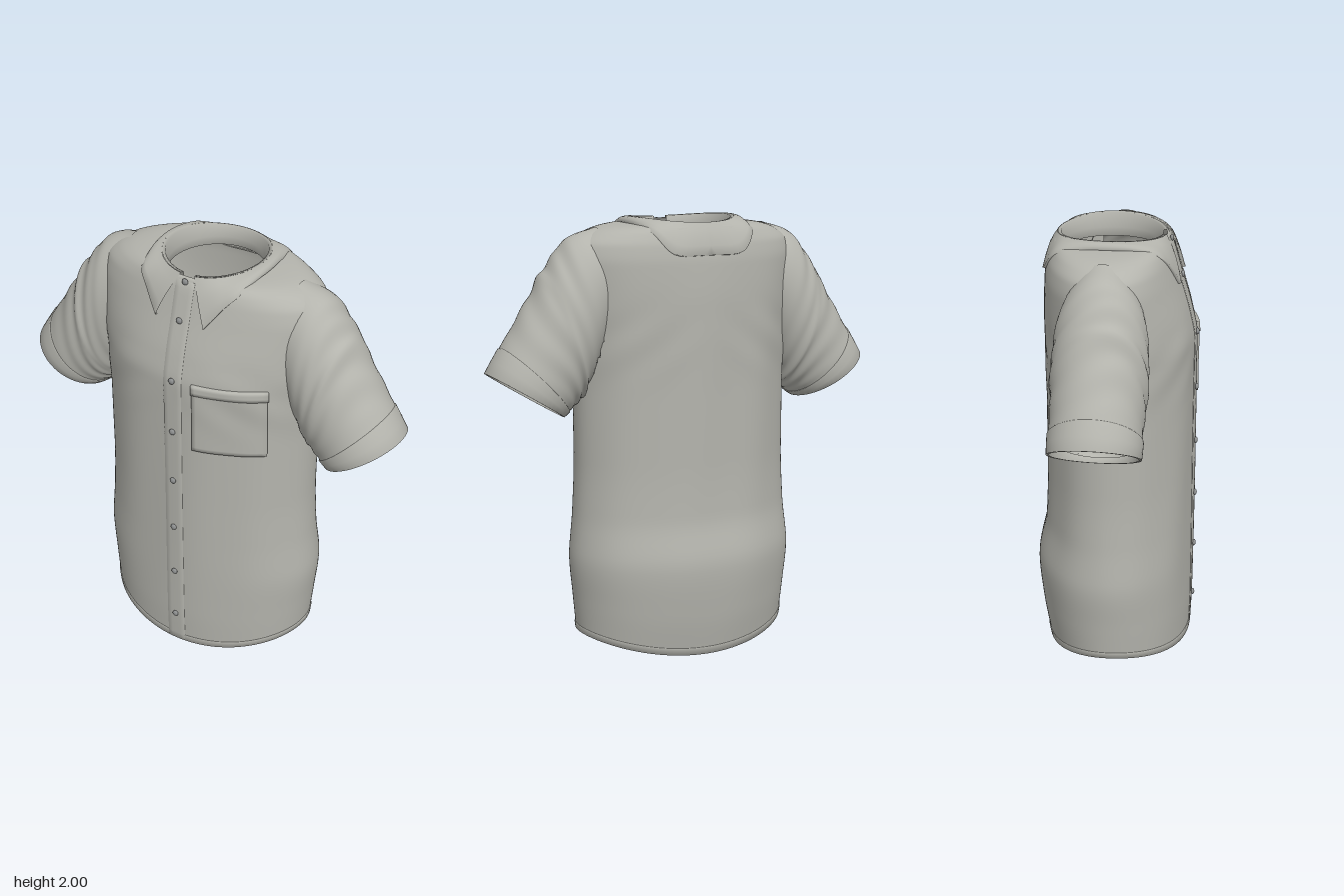
import * as THREE from 'three';

const { sin, cos, abs, sqrt, PI, max, min } = Math;
const fabric = new THREE.MeshStandardMaterial({ color: 0xb4b4ad, side: THREE.DoubleSide });
fabric.name = 'grey fabric';
const buttonGrey = new THREE.MeshStandardMaterial({ color: 0x8e9090 });
buttonGrey.name = 'button grey';

// Torso profile: height, half width, front depth, back depth
const PROFILE = [
  [0, 0.515, 0.355, 0.32], [0.2, 0.53, 0.36, 0.352], [0.42, 0.545, 0.36, 0.37],
  [0.65, 0.526, 0.36, 0.33], [0.9, 0.515, 0.36, 0.322], [1.2, 0.515, 0.36, 0.322],
  [1.5, 0.53, 0.36, 0.325], [1.62, 0.54, 0.338, 0.325], [1.8, 0.55, 0.285, 0.318],
  [1.88, 0.53, 0.262, 0.305], [1.93, 0.47, 0.247, 0.288], [1.955, 0.4, 0.236, 0.279],
  [1.965, 0.33, 0.23, 0.274], [1.97, 0.24, 0.222, 0.27],
];

// Monotone cubic interpolation of a column of the profile
function profile(y, k) {
  const P = PROFILE, last = P.length - 1;
  let i = 0;
  while (i < last - 1 && y > P[i + 1][0]) i++;
  const rise = j => (P[j + 1][k] - P[j][k]) / (P[j + 1][0] - P[j][0]);
  const slope = j => {
    if (j === 0) return rise(0);
    if (j === last) return rise(last - 1);
    const a = rise(j - 1), b = rise(j);
    return a * b <= 0 ? 0 : (2 * a * b) / (a + b);
  };
  const h = P[i + 1][0] - P[i][0], t = min(1, max(0, (y - P[i][0]) / h)), s = 1 - t;
  return P[i][k] * (1 + 2 * t) * s * s + slope(i) * h * t * s * s
    + P[i + 1][k] * t * t * (3 - 2 * t) - slope(i + 1) * h * t * t * s;
}

// Point on the torso at an angle (PI/2 is the front), with a curved hem and soft folds
function torsoPoint(a, y, off = 0) {
  const c = cos(a), s = sin(a);
  const fold = 0.004 * sin(a * 9 + y * 1.5) * sin(min(1, y / 1.9) * PI) * abs(s);
  const crease = 0.006 * sin(26 * (y + 0.45 * abs(c))) * Math.exp(-(((y - 1.45) / 0.14) ** 2)) * abs(c * s);
  const d = off + fold + crease;
  const lift = 0.085 * c * c * max(0, 1 - y / 0.5);
  return [c * (profile(y, 1) + d), y + lift, s * (profile(y, s > 0 ? 2 : 3) + d)];
}

// Surface from a grid of points: f(u index, v index) -> [x, y, z]
function grid(name, nu, nv, f, closed = false, skip = null) {
  const cols = closed ? nu : nu + 1, pos = [], idx = [];
  for (let j = 0; j <= nv; j++) for (let i = 0; i < cols; i++) pos.push(...f(i, j));
  for (let j = 0; j < nv; j++) for (let i = 0; i < nu; i++) {
    const a = j * cols + i, b = j * cols + (i + 1) % cols, c = a + cols, d = b + cols;
    if (skip && skip(pos.slice(a * 3, a * 3 + 3))) continue;
    idx.push(a, c, b, b, c, d);
  }
  const g = new THREE.BufferGeometry();
  g.setAttribute('position', new THREE.Float32BufferAttribute(pos, 3));
  g.setIndex(idx);
  g.computeVertexNormals();
  const m = new THREE.Mesh(g, fabric);
  m.name = name;
  return m;
}

// Raised cloth panel following the shirt front, with turned-down borders
function panel(name, x0, x1, y0, y1, off, nx, ny) {
  return grid(name, nx + 2, ny + 2, (i, j) => {
    const u = min(1, max(0, (i - 1) / nx)), v = min(1, max(0, (j - 1) / ny));
    const border = i === 0 || j === 0 || i === nx + 2 || j === ny + 2;
    const y = y0 + (y1 - y0) * v, x = x0 + (x1 - x0) * u;
    return torsoPoint(Math.acos(x / profile(y, 1)), y, border ? -0.006 : off);
  });
}

// Sleeve sections: top point, bottom point, half depth
const SECTIONS = [
  [0.42, 1.955, 0.4, 1.45, 0.17], [0.55, 1.91, 0.44, 1.35, 0.2], [0.635, 1.81, 0.49, 1.24, 0.207],
  [0.72, 1.675, 0.525, 1.185, 0.205], [0.83, 1.5, 0.562, 1.15, 0.2], [0.94, 1.33, 0.6, 1.118, 0.2],
];
const topLine = new THREE.CatmullRomCurve3(SECTIONS.map(s => new THREE.Vector3(s[0], s[1], s[4])));
const underLine = new THREE.CatmullRomCurve3(SECTIONS.map(s => new THREE.Vector3(s[2], s[3], s[4])));

function sleevePoint(side, a, t, off = 0) {
  const p = topLine.getPoint(t), q = underLine.getPoint(t);
  // A step at mid sleeve and light wrinkles
  const wrinkle = 0.006 * Math.exp(-(((t - 0.5) / 0.04) ** 2))
    + 0.004 * sin(t * 38 + 2 * sin(a * 2)) * max(0, sin(PI * (t - 0.15) / 0.75));
  const k = 1 + (off + (t < 0.88 ? wrinkle : 0)) / 0.22, c = cos(a) * k;
  return [side * ((p.x + q.x) / 2 + (p.x - q.x) / 2 * c), (p.y + q.y) / 2 + (p.y - q.y) / 2 * c,
    -0.01 + p.z * sin(a) * k];
}

function sleeve(side, name) {
  const g = new THREE.Group(), n = 48;
  g.name = name;
  g.add(grid('sleeveCloth', n, 50, (i, j) => sleevePoint(side, i / n * 2 * PI, j / 50), true));
  // Cuff band: raised edge, outside, rim, inside
  const rows = [[0.87, 0], [0.875, 0.005], [0.94, 0.004], [1, 0.002], [1, -0.012], [0.9, -0.012]];
  g.add(grid('cuff', n, rows.length - 1, (i, j) => sleevePoint(side, i / n * 2 * PI, ...rows[j]), true));
  return g;
}

// Collar leaf: outline of the lower edge from the front tip to the centre back
const leafEdge = new THREE.CatmullRomCurve3([
  [0.12, 1.785, 0.298], [0.19, 1.88, 0.256], [0.24, 1.935, 0.215], [0.262, 1.966, 0.12], [0.275, 1.973, 0],
  [0.268, 1.968, -0.12], [0.245, 1.935, -0.25], [0.17, 1.85, -0.308], [0, 1.84, -0.324],
].map(p => new THREE.Vector3(...p)));

function collarLeaf(side) {
  const n = 48;
  return grid('collarLeaf', n, 5, (i, j) => {
    const u = i / n, a = 0.14 + (PI - 0.14) * u, e = leafEdge.getPoint(u);
    const top = [0.237 * sin(a), 1.98 + 0.018 * sin(a) ** 2, -0.02 + 0.245 * cos(a)];
    const v = min(1, j / 4), drop = j === 5 ? 0.015 : 0;
    const mix = (p, q) => p + (q - p) * v;
    const bulge = 0.008 * sin(PI * v);
    return [side * (mix(top[0], e.x) + bulge * sin(a) - drop * 0.3 * sin(a)),
      mix(top[1], e.y) + bulge - drop * 0.3, mix(top[2], e.z) + (bulge - drop) * cos(a)];
  });
}

export function createModel() {
  const shirt = new THREE.Group();
  shirt.name = 'shirt';

  // Torso with open armholes
  const n = 128, rows = 90;
  const inArmhole = ([x, y, z]) => abs(x) > 0.4 && abs(y - 1.55) < 0.31
    && abs(z + 0.01) < 0.15 * sqrt(1 - ((y - 1.55) / 0.31) ** 2);
  shirt.add(grid('torso', n, rows,
    (i, j) => torsoPoint(-i / n * 2 * PI, 1.97 * sin(j / rows * PI / 2)), true, inArmhole));

  // Turned hem
  const hem = [[0.035, 0], [0.032, 0.004], [0, 0.003], [0, -0.012], [0.04, -0.012]];
  shirt.add(grid('hem', n, hem.length - 1, (i, j) => torsoPoint(-i / n * 2 * PI, ...hem[j]), true));

  // Sleeves and collar leaves
  for (const side of [1, -1]) {
    shirt.add(sleeve(side, side > 0 ? 'leftSleeve' : 'rightSleeve'), collarLeaf(side));
  }

  // Collar stand, open at the front
  const stand = [[0.237, 1.98], [0.222, 1.978], [0.212, 1.93], [0.215, 1.89], [0.225, 1.89]];
  shirt.add(grid('collarStand', 72, stand.length - 1, (i, j) => {
    const a = 0.14 + (2 * PI - 0.28) * i / 72, [r, y] = stand[j];
    return [r * sin(a), y + (j < 2 ? 0.018 * sin(a) ** 2 : 0), -0.02 + (r + 0.006) * cos(a)];
  }));

  // Placket and chest pocket
  shirt.add(panel('placket', -0.045, 0.045, 0.01, 1.955, 0.004, 4, 70));
  shirt.add(panel('pocket', 0.1, 0.4, 1.19, 1.53, 0.012, 16, 18));
  shirt.add(panel('pocketHem', 0.095, 0.405, 1.485, 1.53, 0.016, 16, 3));

  // Buttons
  const buttonShape = new THREE.SphereGeometry(0.015, 16, 10);
  for (let i = 0; i < 8; i++) {
    const y = i < 7 ? 0.17 + 0.27 * i : 1.955;
    const b = new THREE.Mesh(buttonShape, buttonGrey);
    b.name = 'button';
    b.scale.z = 0.6;
    b.position.set(0, y, torsoPoint(PI / 2, y, 0.008)[2]);
    shirt.add(b);
  }
  return shirt;
}
